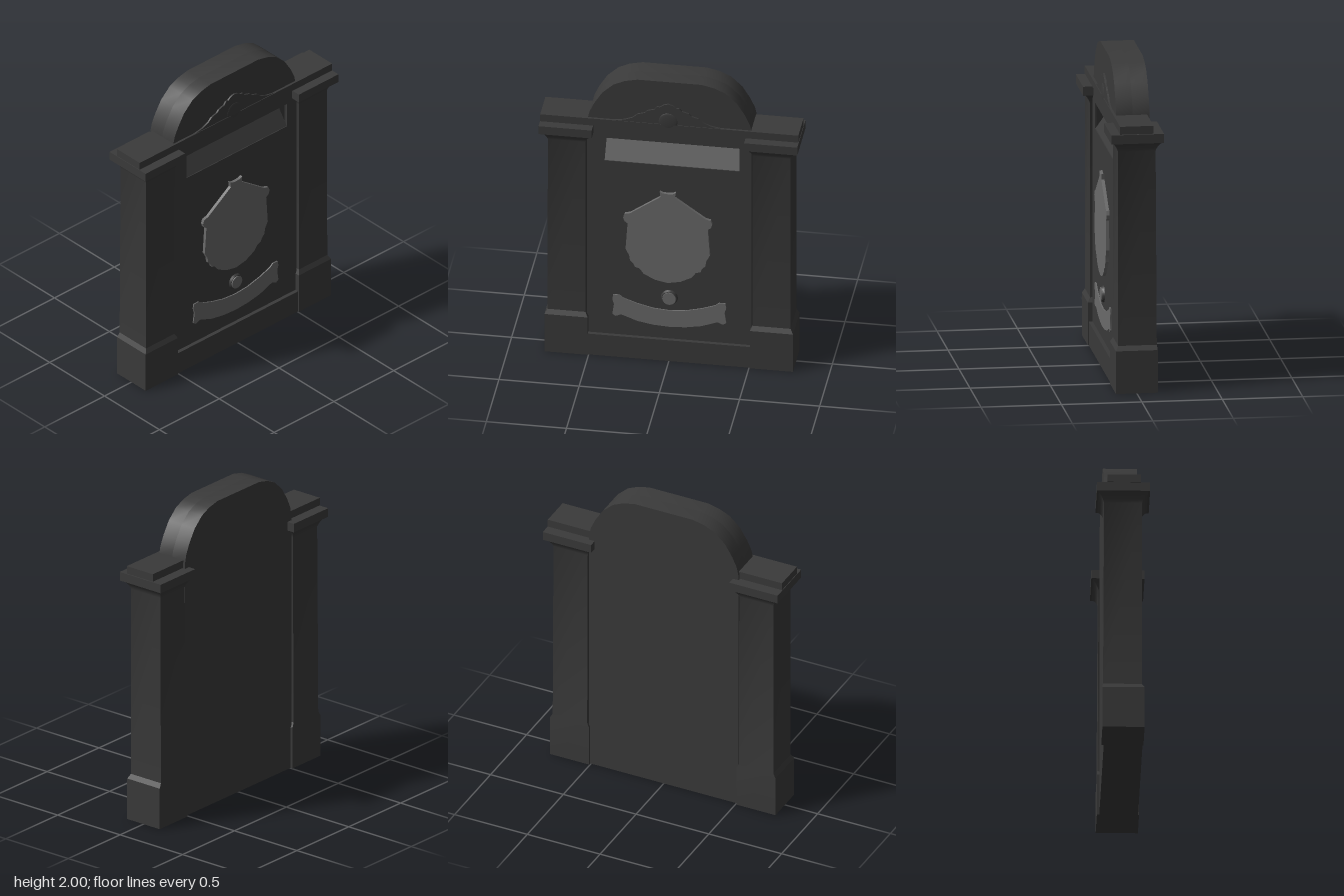
import * as THREE from 'three';
import { toCreasedNormals } from 'three/addons/utils/BufferGeometryUtils.js';

const dark = new THREE.MeshStandardMaterial({ color: 0x3a3a3a });
const pale = new THREE.MeshStandardMaterial({ color: 0x6a6a6a });

// Closed outline from its right half, listed from the top centre to the bottom centre
function mirrored(half, cx = 0) {
  const right = half.map(([x, y]) => new THREE.Vector2(cx + x, y));
  const left = half.filter(([x]) => x > 0).reverse().map(([x, y]) => new THREE.Vector2(cx - x, y));
  return new THREE.Shape([...right, ...left]);
}

function rect(x0, x1, y0, y1) {
  return [[x0, y0], [x1, y0], [x1, y1], [x0, y1]].map(([x, y]) => new THREE.Vector2(x, y));
}

// Stack of rectangles [y, x0, x1, z0, z1] joined by flat sides
function stack(rows) {
  const rings = rows.map(([y, x0, x1, z0, z1]) => [[x0, y, z1], [x1, y, z1], [x1, y, z0], [x0, y, z0]]);
  const pos = [];
  const quad = (a, b, c, d) => pos.push(...a, ...b, ...c, ...a, ...c, ...d);
  for (let i = 0; i < rings.length - 1; i++) {
    for (let k = 0; k < 4; k++) {
      const n = (k + 1) % 4;
      quad(rings[i][k], rings[i][n], rings[i + 1][n], rings[i + 1][k]);
    }
  }
  const [a, b, c, d] = rings[0];
  quad(d, c, b, a);
  quad(...rings[rings.length - 1]);
  const geo = new THREE.BufferGeometry();
  geo.setAttribute('position', new THREE.Float32BufferAttribute(pos, 3));
  geo.computeVertexNormals();
  return toCreasedNormals(geo, 0.4);
}

export function createModel() {
  const model = new THREE.Group();
  const box = new THREE.Group(); // built facing +z, then turned to face +x
  box.name = 'postBox';
  box.rotation.y = Math.PI / 2;
  model.add(box);

  const add = (name, geo, mat = dark) => {
    const mesh = new THREE.Mesh(geo, mat);
    mesh.name = name;
    box.add(mesh);
    return mesh;
  };
  const slab = (name, shape, z0, z1, mat) => {
    const geo = new THREE.ExtrudeGeometry(shape, { depth: z1 - z0, bevelEnabled: false });
    geo.translate(0, 0, z0);
    return add(name, toCreasedNormals(geo, 0.45), mat);
  };

  // Body with the rounded pediment; the front layer carries the slot
  const arch = [[0.2, 2], [0.28, 1.982], [0.35, 1.95], [0.42, 1.885], [0.47, 1.805], [0.5, 1.74], [0.513, 1.68], [0.513, 0]];
  const slot = () => new THREE.Path(rect(-0.405, 0.436, 1.4, 1.565).reverse());
  slab('bodyBack', mirrored(arch), -0.115, -0.01);
  const front = mirrored(arch);
  front.holes.push(slot());
  slab('bodyFront', front, -0.01, 0.093);

  // Front panel
  const panel = new THREE.Shape(rect(-0.513, 0.513, 0.15, 1.66));
  panel.holes.push(slot());
  slab('frontPanel', panel, 0.09, 0.1);

  // Sloping chute inside the slot
  const chute = new THREE.ExtrudeGeometry(
    new THREE.Shape([[-0.01, 1.4], [0.095, 1.4], [-0.01, 1.55]].map(([x, y]) => new THREE.Vector2(x, y))),
    { depth: 0.841, bevelEnabled: false });
  chute.rotateY(-Math.PI / 2); // profile x becomes z, depth runs to -x
  chute.translate(0.436, 0, 0);
  add('slotChute', chute);

  // Plinth and cornice
  add('plinth', stack([[0, -0.52, 0.52, -0.115, 0.124], [0.15, -0.52, 0.52, -0.115, 0.124]]));
  add('cornice', stack([[1.65, -0.805, 0.805, -0.1, 0.108], [1.7, -0.805, 0.805, -0.1, 0.108]]));

  // Side pillars: base, shaft, flared capital and cap
  const pillar = [
    [0, 0.506, 0.775, -0.13, 0.13], [0.27, 0.506, 0.775, -0.13, 0.13],
    [0.3, 0.521, 0.758, -0.126, 0.114], [1.53, 0.521, 0.756, -0.119, 0.114],
    [1.55, 0.514, 0.763, -0.126, 0.121], [1.57, 0.502, 0.775, -0.138, 0.133],
    [1.59, 0.485, 0.795, -0.155, 0.15], [1.59, 0.475, 0.807, -0.165, 0.163],
    [1.647, 0.475, 0.807, -0.165, 0.163],
  ];
  add('rightPillar', stack(pillar));
  add('leftPillar', stack(pillar.map(([y, x0, x1, z0, z1]) => [y, -x1, -x0, z0, z1])));

  // Crest ornament on the pediment
  slab('crest', mirrored([
    [0, 1.845], [0.03, 1.836], [0.05, 1.82], [0.07, 1.82], [0.085, 1.8], [0.13, 1.787], [0.145, 1.77],
    [0.19, 1.757], [0.22, 1.73], [0.27, 1.71], [0.33, 1.7], [0.33, 1.66]], -0.008), 0.085, 0.104);
  const boss = add('crestBoss', new THREE.SphereGeometry(0.06, 20, 12));
  boss.scale.z = 0.12;
  boss.position.set(-0.008, 1.72, 0.103);

  // Shield plate
  slab('shield', mirrored([
    [0, 1.205], [0.03, 1.207], [0.05, 1.217], [0.045, 1.18], [0.235, 1.045], [0.268, 1.037], [0.278, 1.01],
    [0.27, 0.985], [0.25, 0.97], [0.263, 0.785], [0.24, 0.74], [0.235, 0.705], [0.215, 0.685], [0.205, 0.66],
    [0.175, 0.65], [0.15, 0.615], [0.08, 0.578], [0, 0.562]], -0.008), 0.095, 0.12, pale);

  // Curved banner plate
  slab('banner', mirrored([
    [0, 0.355], [0.1, 0.363], [0.2, 0.388], [0.285, 0.418], [0.31, 0.438], [0.35, 0.438], [0.355, 0.405],
    [0.345, 0.37], [0.355, 0.3], [0.335, 0.285], [0.3, 0.3], [0.2, 0.262], [0.1, 0.244], [0, 0.238]], 0),
  0.095, 0.108, pale);

  // Round lock
  const lockParts = [['lockRing', 0.054, 0.046, 0.016, dark], ['lockFace', 0.042, 0.042, 0.022, pale]];
  for (const [name, rBack, rFront, h, mat] of lockParts) {
    const geo = new THREE.CylinderGeometry(rFront, rBack, h, 24);
    geo.rotateX(Math.PI / 2);
    add(name, geo, mat).position.set(0, 0.447, 0.098 + h / 2);
  }
  return model;
}
